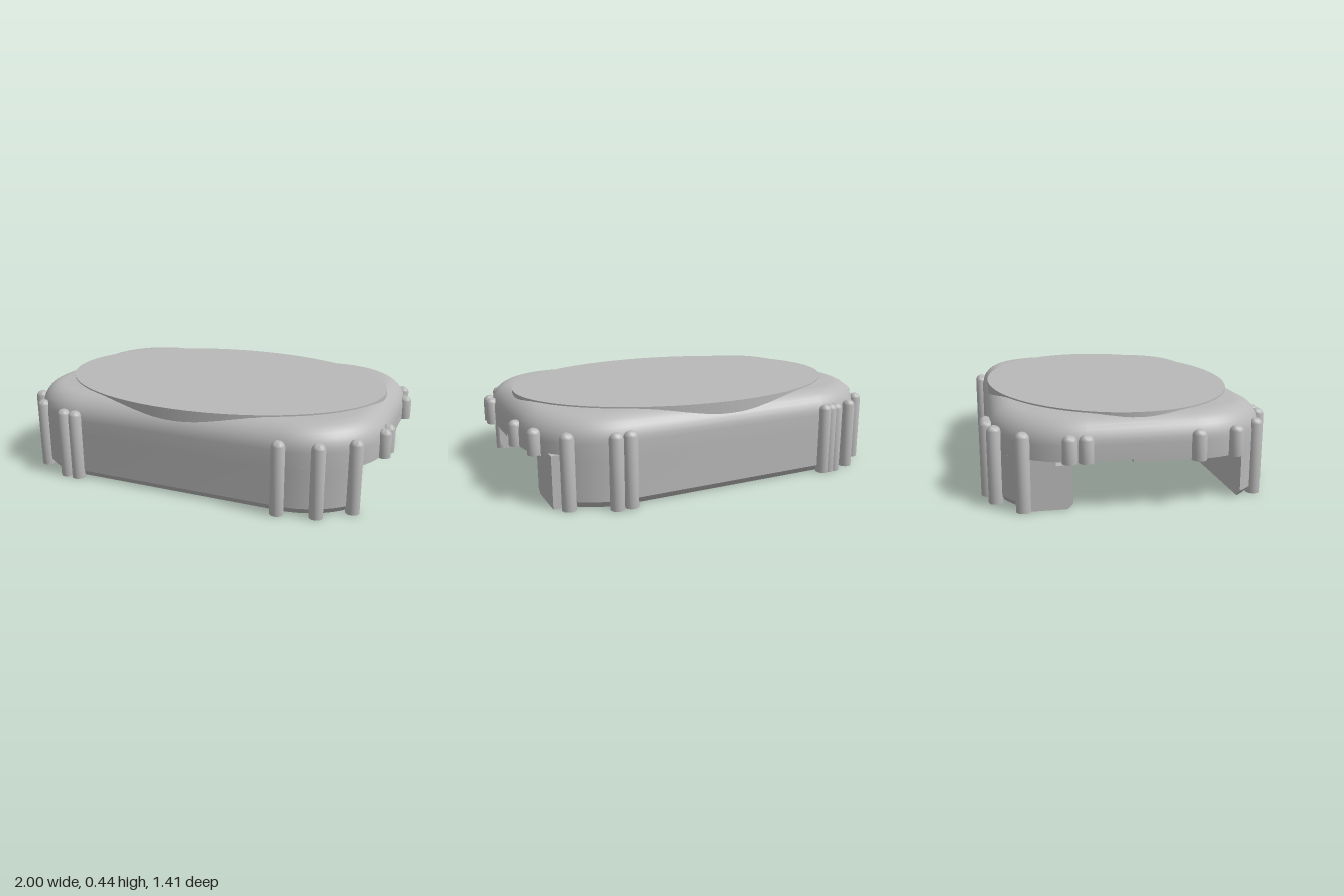
import * as THREE from 'three';
import { toCreasedNormals } from 'three/addons/utils/BufferGeometryUtils.js';

const HX = 0.96, HZ = 0.665, R = 0.415; // outline half sizes and corner radius
const CX = HX - R, CZ = HZ - R, N = 14;

// one rounded corner of the outline, inset by d, from angle a0 to a1
function corner(sx, sz, d, a0, a1) {
  return Array.from({ length: N + 1 }, (_, i) => {
    const a = a0 + (a1 - a0) * i / N;
    return [sx * CX + (R - d) * Math.cos(a), sz * CZ + (R - d) * Math.sin(a)];
  });
}

// whole outline
function fullRing(d) {
  const q = Math.PI / 2;
  return [[1, 1], [-1, 1], [-1, -1], [1, -1]].flatMap(([sx, sz], i) => corner(sx, sz, d, i * q, (i + 1) * q));
}

// the part of the outline in front of z0
function frontRing(z0, d) {
  const half = corner(1, 1, d, z0 > CZ ? Math.asin((z0 - CZ) / (R - d)) : 0, Math.PI / 2);
  if (z0 < CZ) half.unshift([HX - d, z0]);
  return [...half, ...half.slice().reverse().map(([x, z]) => [-x, z])];
}

// closed solid through convex rings, listed from bottom to top as { y, ring }
function loft(levels) {
  const pos = [], idx = [], n = levels[0].ring.length;
  for (const { y, ring } of levels) for (const [x, z] of ring) pos.push(x, y, z);
  for (let k = 0; k < levels.length - 1; k++) {
    for (let i = 0; i < n; i++) {
      const a = k * n + i, b = k * n + (i + 1) % n;
      idx.push(a, a + n, b, b, a + n, b + n);
    }
  }
  const top = (levels.length - 1) * n;
  for (let i = 1; i < n - 1; i++) {
    idx.push(0, i, i + 1);
    idx.push(top, top + i + 1, top + i);
  }
  const g = new THREE.BufferGeometry();
  g.setAttribute('position', new THREE.Float32BufferAttribute(pos, 3));
  g.setIndex(idx);
  return toCreasedNormals(g, 0.5);
}

export function createModel() {
  const model = new THREE.Group();
  model.name = 'ovalTopBase';
  const grey = new THREE.MeshStandardMaterial({ color: 0xb8b8b8 });
  grey.name = 'grey';
  const add = (name, geometry) => {
    const mesh = new THREE.Mesh(geometry, grey);
    mesh.name = name;
    model.add(mesh);
    return mesh;
  };

  // main slab with a rounded upper edge
  const slab = [{ y: 0.24, ring: fullRing(0) }];
  for (let i = 0; i <= 8; i++) {
    const a = i / 8 * Math.PI / 2;
    slab.push({ y: 0.31 + 0.12 * Math.sin(a), ring: fullRing(0.12 * (1 - Math.cos(a))) });
  }
  add('slab', loft(slab));

  // slightly thicker front half of the underside
  add('undersidePlate', loft([0.225, 0.24].map(y => ({ y, ring: frontRing(-0.045, 0) }))));

  // front and back skirts with a chamfered foot
  const skirt = z0 => loft([[0, 0.03], [0.035, 0], [0.24, 0]].map(([y, d]) => ({ y, ring: frontRing(z0, d) })));
  add('frontSkirt', skirt(0.48));
  add('backSkirt', skirt(0.545)).rotation.y = Math.PI;

  // oval top disc
  const disc = new THREE.CylinderGeometry(1, 1, 0.077, 96);
  disc.scale(0.9, 1, 0.645);
  add('ovalTop', disc).position.y = 0.3985;

  // stepped rail behind the opening, with a shallow notch in the middle
  const rail = (x0, x1, foot) => {
    const s = new THREE.Shape();
    [[0.305, foot + 0.025], [0.33, foot], [0.49, foot], [0.49, 0.25], [0.38, 0.25], [0.38, 0.205], [0.305, 0.205]]
      .forEach(([z, y], i) => (i ? s.lineTo(z, y) : s.moveTo(z, y)));
    const g = new THREE.ExtrudeGeometry(s, { depth: x1 - x0, bevelEnabled: false });
    g.rotateY(Math.PI / 2); // profile now runs towards -z, depth towards +x
    g.translate(x0, 0, 0);
    return g;
  };
  add('railRight', rail(-0.88, 0, 0));
  add('railNotch', rail(0, 0.2, 0.07));
  add('railLeft', rail(0.2, 0.88, 0));

  // blocks closing the slot between rail and back skirt
  for (const s of [1, -1]) {
    add('slotEnd', new THREE.BoxGeometry(0.07, 0.255, 0.055)).position.set(s * 0.845, 0.1275, -0.5175);
  }

  // round-headed posts around the rim: short on the sides, long at front and back
  const r = 0.034, top = 0.365;
  const posts = [
    [-0.62, -0.671], [-0.585, -0.671], [-0.55, -0.671], [-0.73, -0.64], [-0.87, -0.525],
    [-0.962, -0.33], [-0.966, -0.255], [-0.966, 0.25], [-0.93, 0.435], [-0.815, 0.575],
    [-0.62, 0.667], [-0.55, 0.671], [0.545, 0.671], [0.725, 0.635], [0.87, 0.52],
    [0.962, 0.325], [0.966, 0.25], [0.966, -0.255], [0.925, -0.435], [0.815, -0.58],
    [0.615, -0.671], [0.545, -0.671],
  ];
  for (const [x, z] of posts) {
    const foot = Math.abs(z) > 0.47 ? 0 : z > 0 ? 0.225 : 0.24;
    const profile = [new THREE.Vector2(0, foot), new THREE.Vector2(r, foot)];
    for (let i = 0; i <= 6; i++) {
      const a = i / 6 * Math.PI / 2;
      profile.push(new THREE.Vector2(r * Math.cos(a), top - r + r * Math.sin(a)));
    }
    const g = toCreasedNormals(new THREE.LatheGeometry(profile, 16), 0.7);
    add('post', g).position.set(x, 0, z);
  }
  return model;
}
